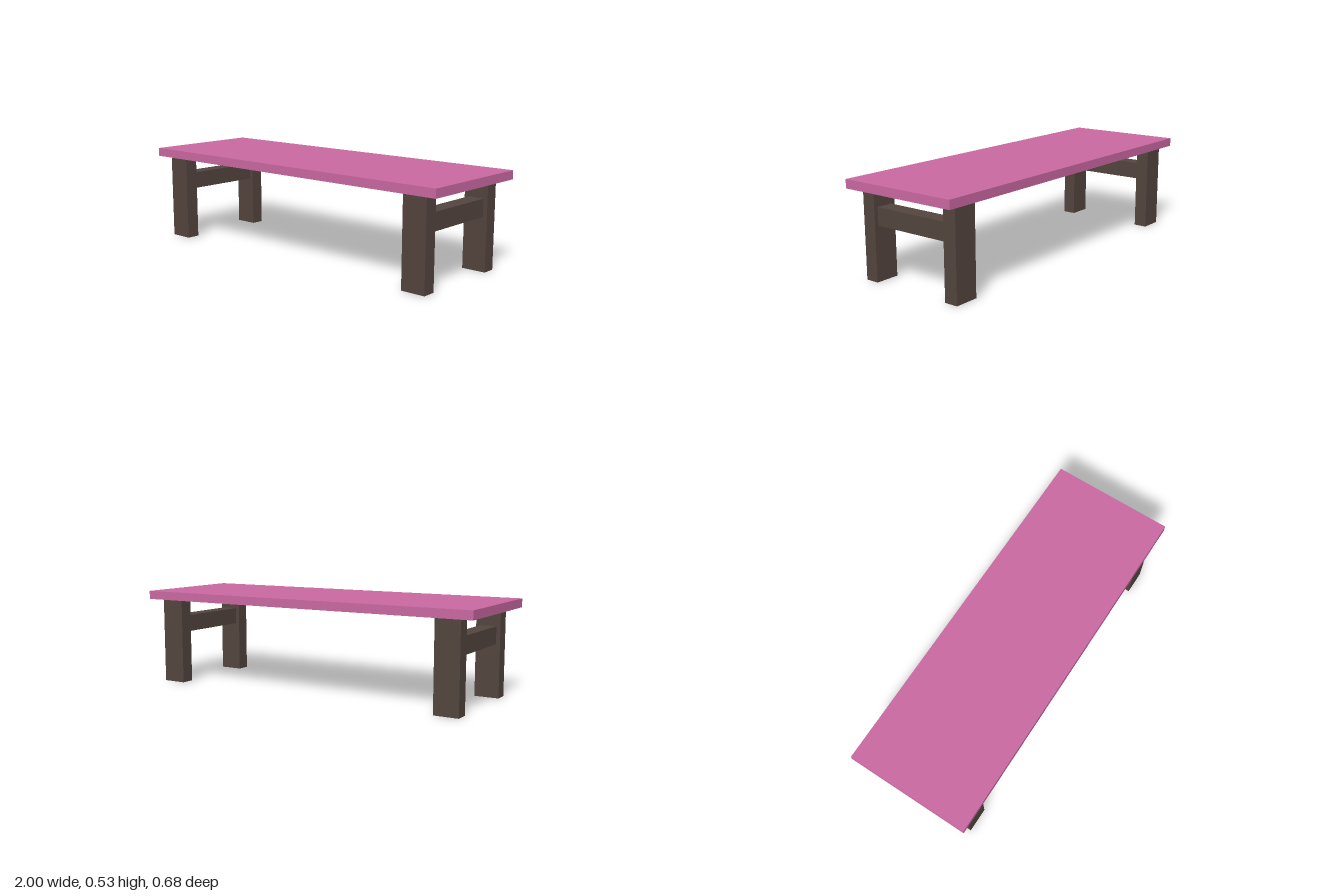
import * as THREE from 'three';

export function createModel() {
  const model = new THREE.Group();
  model.name = 'bench';

  const pink = new THREE.MeshStandardMaterial({ color: 0xcb69a2 });
  pink.name = 'pink top';
  const brown = new THREE.MeshStandardMaterial({ color: 0x54453f });
  brown.name = 'dark brown wood';

  const addBox = (name, size, position, material) => {
    const mesh = new THREE.Mesh(new THREE.BoxGeometry(...size), material);
    mesh.name = name;
    mesh.position.set(...position);
    model.add(mesh);
  };

  // Flat slab top
  addBox('top', [2, 0.047, 0.684], [0, 0.5035, 0], pink);

  // Two end frames: a pair of legs joined by a rail
  for (const [side, sx] of [['left', 1], ['right', -1]]) {
    const x = sx * 0.858;
    for (const [end, sz] of [['Front', 1], ['Back', -1]]) {
      addBox(`${side}${end}Leg`, [0.135, 0.48, 0.075], [x, 0.24, sz * 0.2675], brown);
    }
    addBox(`${side}Rail`, [0.09, 0.095, 0.46], [x, 0.337, 0], brown);
  }

  return model;
}
